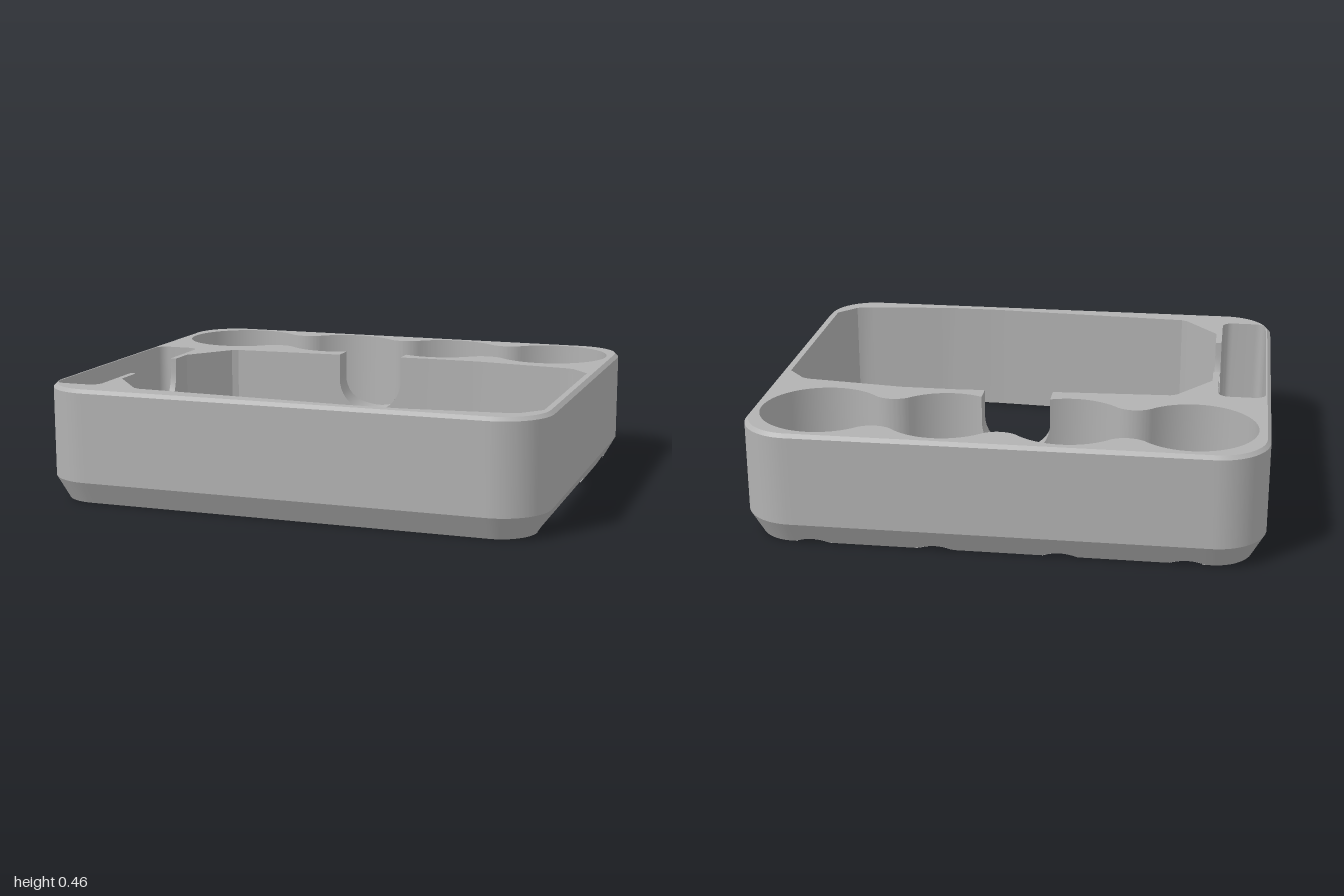
import * as THREE from 'three';
import { toCreasedNormals } from 'three/addons/utils/BufferGeometryUtils.js';

// Plan coordinates: Vector2(x, z). All contours run the same way round.
const W = 1, D = 0.853, R = 0.2, H = 0.457;      // half width, half depth, corner radius, height
const TOP = 0.014, BASE = 0.05, BASE_H = 0.09;   // top bevel, bottom bevel
const V = (x, z) => new THREE.Vector2(x, z);

// Vector from the straight-sided core of the outline, and distance from the outer wall
function offset(p) {
  const c = V(THREE.MathUtils.clamp(p.x, R - W, W - R), THREE.MathUtils.clamp(p.y, R - D, D - R));
  return { c, q: p.clone().sub(c) };
}
const inset = p => R - offset(p).q.length();
function pushIn(p, d) {
  const { c, q } = offset(p);
  return q.length() > R - d ? c.add(q.setLength(R - d)) : p.clone();
}

// Cut long segments of a closed contour
function resample(pts, step) {
  const clean = pts.filter((p, i) => p.distanceTo(pts[(i + 1) % pts.length]) > 1e-4);
  return clean.flatMap((a, i) => {
    const b = clean[(i + 1) % clean.length], n = Math.ceil(a.distanceTo(b) / step);
    return Array.from({ length: n }, (_, k) => a.clone().lerp(b, k / n));
  });
}

// Add contour points where a coordinate equals a value
function splitAt(pts, axis, v) {
  return pts.flatMap((a, i) => {
    const b = pts[(i + 1) % pts.length], da = a[axis] - v, db = b[axis] - v;
    if (da * db >= 0 || Math.min(Math.abs(da), Math.abs(db)) < 1e-5) return [a];
    const p = a.clone().lerp(b, da / (da - db));
    p[axis] = v;
    return [a, p];
  });
}

function roundedRect(x0, x1, z0, z1, r, n) {
  const pts = [];
  [[x1 - r, z0 + r], [x1 - r, z1 - r], [x0 + r, z1 - r], [x0 + r, z0 + r]].forEach(([x, z], k) => {
    for (let i = 0; i <= n; i++) {
      const a = (k - 1 + i / n) * Math.PI / 2;
      pts.push(V(x + r * Math.cos(a), z + r * Math.sin(a)));
    }
  });
  return pts;
}

// Row of four round bays joined by filleted waists
function scallopedBay() {
  const path = new THREE.Path(), z = -0.569, r = 0.243, pitch = 0.4775, x0 = -0.712;
  const h = 0.248, rf = 0.102, phi = Math.atan2(h, pitch / 2), PI = Math.PI;
  for (let i = 0; i < 4; i++) {
    const x = x0 + i * pitch;
    path.absarc(x, z, r, i ? phi - PI : -PI, i < 3 ? -phi : 0, false);
    if (i < 3) path.absarc(x + pitch / 2, z - h, rf, PI - phi, phi, true);
  }
  for (let i = 3; i >= 0; i--) {
    const x = x0 + i * pitch;
    path.absarc(x, z, r, i < 3 ? phi : 0, i ? PI - phi : PI, false);
    if (i) path.absarc(x - pitch / 2, z + h, rf, -phi, phi - PI, true);
  }
  return path.getPoints(12);
}

const mainBay = [[-0.765, -0.04], [-0.63, -0.222], [-0.605, -0.235], [0.25, -0.28], [0.47, -0.28],
  [0.865, -0.235], [0.892, -0.225], [0.963, -0.145], [0.963, 0.66], [0.892, 0.743], [0.865, 0.755],
  [0.47, 0.8], [0.25, 0.8], [-0.605, 0.755], [-0.63, 0.742], [-0.765, 0.575]].map(([x, z]) => V(x, z));

// Round-bottomed notches through the inner walls
const notches = [
  { axis: 'x', cross: 'y', c: -0.003, r: 0.136, cy: 0.35, lo: -0.57, hi: 0 },
  { axis: 'y', cross: 'x', c: 0.26, r: 0.19, cy: 0.4, lo: -0.85, hi: 0 },
];
const inNotch = (p, n, tol = -1e-5) =>
  Math.abs(p[n.axis] - n.c) < n.r + tol && p[n.cross] > n.lo && p[n.cross] < n.hi;
const notchY = (p, n) => n.cy - Math.sqrt(Math.max(0, n.r ** 2 - (p[n.axis] - n.c) ** 2));
const samples = n => Array.from({ length: 21 }, (_, k) => n.c - n.r * Math.cos(k * Math.PI / 20));

// Join two hole contours through a notch
function join(a, b, n) {
  const open = pts => {
    const start = pts.findIndex((p, i) => !inNotch(p, n) && inNotch(pts.at(i - 1), n));
    return [...pts.slice(start), ...pts.slice(0, start)].filter(p => !inNotch(p, n));
  };
  return [...open(a), ...open(b)];
}

function inside(p, pts) {
  let hit = false;
  for (let i = 0, j = pts.length - 1; i < pts.length; j = i++) {
    const a = pts[i], b = pts[j];
    if ((a.y > p.y) !== (b.y > p.y) && p.x < (b.x - a.x) * (p.y - a.y) / (b.y - a.y) + a.x) hit = !hit;
  }
  return hit;
}

export function createModel() {
  const group = new THREE.Group();
  group.name = 'trayInsert';
  const grey = new THREE.MeshStandardMaterial({ color: 0xb2b2b2, side: THREE.DoubleSide });
  grey.name = 'grey';

  // Collects corners given as [plan point, height]
  const part = (name, build) => {
    const pos = [];
    const tri = (...c) => c.forEach(([p, y]) => pos.push(p.x, y, p.y));
    const quad = (a, b, c, d) => { tri(a, b, c); tri(a, c, d); };
    build(tri, quad);
    const geo = new THREE.BufferGeometry();
    geo.setAttribute('position', new THREE.Float32BufferAttribute(pos, 3));
    const mesh = new THREE.Mesh(toCreasedNormals(geo, 0.4), grey);
    mesh.name = name;
    group.add(mesh);
  };

  const outline = resample(roundedRect(-W, W, -D, D, R, 14), 0.02);
  const holes = [scallopedBay(), mainBay, roundedRect(-0.98, -0.79, -0.22, 0.737, 0.045, 8)].map(raw => {
    let pts = resample(raw, 0.05).map(p => pushIn(p, TOP + 0.004));
    for (const n of notches) for (const v of samples(n)) pts = splitAt(pts, n.axis, v);
    return pts;
  });
  const [bay, main, slot] = holes;

  // Outer wall with both bevels; the lower bevel stops where a hole breaks through it
  part('outerWall', (tri, quad) => {
    const columns = outline.map(p => {
      let d = 0;
      while (d < BASE - 1e-6 && !holes.some(h => inside(pushIn(p, d + 0.001), h))) d += 0.001;
      return [[pushIn(p, d), Math.max(0, BASE_H * (1 - d / BASE))], [p, BASE_H], [p, H - TOP], [pushIn(p, TOP), H]];
    });
    columns.forEach((a, i) => {
      const b = columns[(i + 1) % columns.length];
      for (let k = 0; k < 3; k++) quad(a[k], a[k + 1], b[k + 1], b[k]);
    });
  });

  // Flat faces
  const flat = (contour, cuts, emit) => {
    const all = [contour, ...cuts].flat();
    THREE.ShapeUtils.triangulateShape(contour, cuts).forEach(f => emit(...f.map(i => all[i])));
  };
  part('topFace', tri => {
    const cut = join(join(bay, main, notches[0]), slot, notches[1]);
    flat(outline.map(p => pushIn(p, TOP)), [cut], (a, b, c) => tri([a, H], [c, H], [b, H]));
  });
  part('bottomFace', tri => {
    const cuts = holes.map(h => h.map(p => pushIn(p, BASE + 0.0005)));
    flat(outline.map(p => pushIn(p, BASE)), cuts, (a, b, c) => {
      const mid = a.clone().add(b).add(c).divideScalar(3);
      if (inset(mid) > BASE + 0.0006) tri([a, 0], [b, 0], [c, 0]);
    });
  });

  // Inner walls, lowered at the notches and raised where they meet the lower bevel
  ['scallopedBayWall', 'mainBayWall', 'sideSlotWall'].forEach((name, k) => part(name, (tri, quad) => {
    const pts = holes[k], low = p => Math.max(0, BASE_H * (1 - inset(p) / BASE));
    pts.forEach((a, i) => {
      const b = pts[(i + 1) % pts.length], mid = a.clone().lerp(b, 0.5);
      const n = notches.find(m => inNotch(mid, m));
      const top = p => n ? notchY(p, n) : H;
      quad([a, low(a)], [b, low(b)], [b, top(b)], [a, top(a)]);
    });
  }));

  // Notch surfaces spanning the two neighbouring holes
  [[bay, main, 'bayNotch'], [slot, main, 'slotNotch']].forEach(([a, b, name], k) => part(name, (tri, quad) => {
    const n = notches[k];
    const find = (pts, v) => pts.find(p => inNotch(p, n, 1e-4) && Math.abs(p[n.axis] - v) < 2e-5);
    const rows = samples(n).map(v => [find(a, v), find(b, v)]).filter(([p, q]) => p && q)
      .map(([p, q]) => [[p, notchY(p, n)], [q, notchY(p, n)]]);
    const raise = row => row.map(([p]) => [p, H]);
    const strip = [raise(rows[0]), ...rows, raise(rows.at(-1))];
    for (let i = 1; i < strip.length; i++) {
      const [p, q] = strip[i - 1], [s, t] = strip[i];
      if (k === 0) quad(p, q, t, s);
      else quad(p, s, t, q);
    }
  }));
  return group;
}
